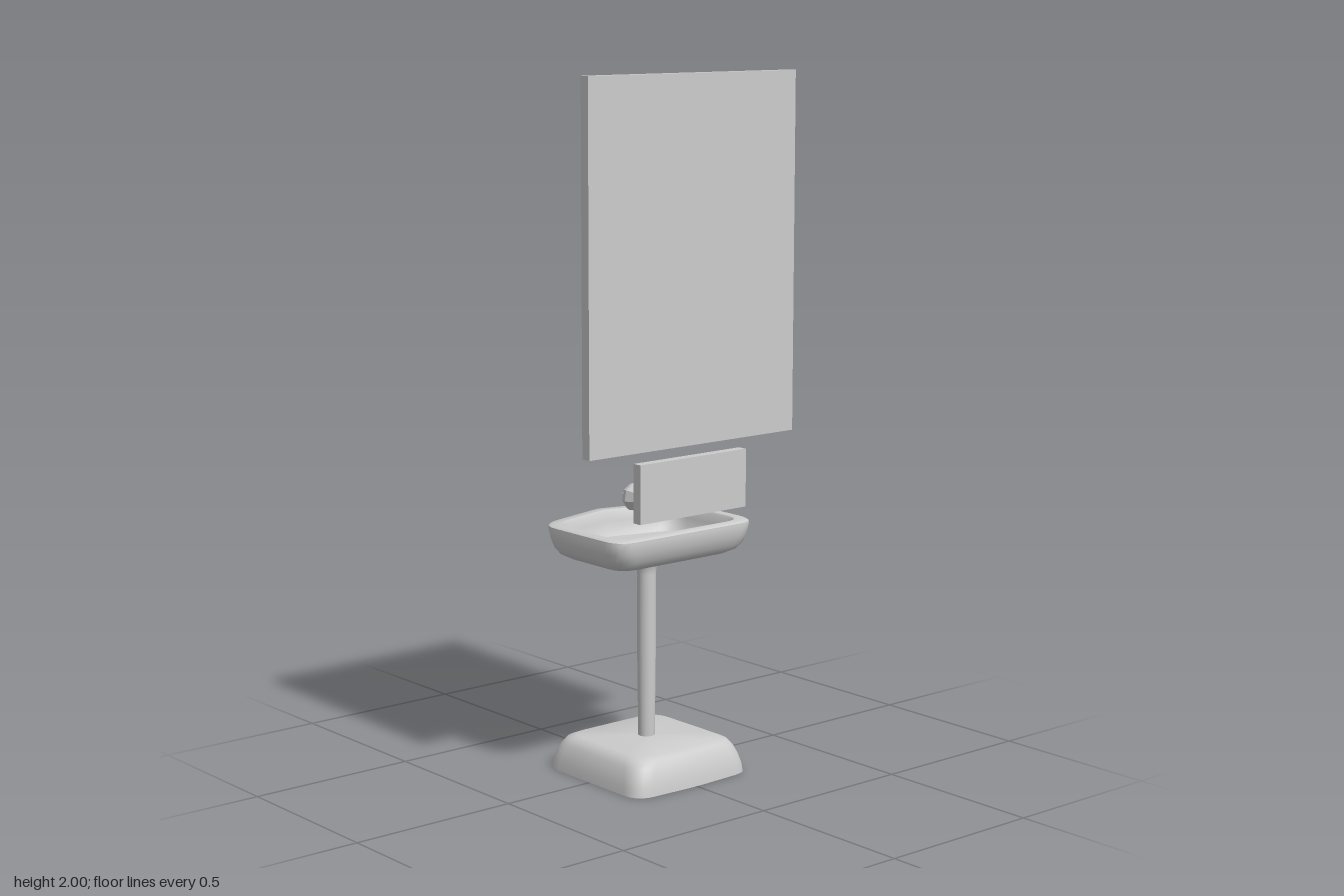
import * as THREE from 'three';
import { toCreasedNormals } from 'three/addons/utils/BufferGeometryUtils.js';

const grey = new THREE.MeshStandardMaterial({ color: 0xcccccc });
const greyDouble = new THREE.MeshStandardMaterial({ color: 0xcccccc, side: THREE.DoubleSide });
const greyFlat = new THREE.MeshStandardMaterial({ color: 0xcccccc, flatShading: true });

function add(parent, name, geometry, material = grey) {
  const mesh = new THREE.Mesh(geometry, material);
  mesh.name = name;
  parent.add(mesh);
  return mesh;
}

// Horizontal outline at height y from corners [x, z, rounding]
function ring(y, corners, steps = 6) {
  const points = [];
  corners.forEach(([x, z, r], i) => {
    const p = new THREE.Vector3(x, y, z);
    const toward = (c) => new THREE.Vector3(c[0], y, c[1]).sub(p).setLength(r).add(p);
    const before = toward(corners.at(i - 1));
    const after = toward(corners[(i + 1) % corners.length]);
    points.push(...new THREE.QuadraticBezierCurve3(before, p, after).getPoints(steps));
  });
  return points;
}

// Skin over a stack of outlines, closed at both ends by centre points
function loft(rings, startY, endY, crease) {
  const n = rings[0].length;
  const cap = (y) => Array(n).fill(new THREE.Vector3(0, y, 0));
  const all = [cap(startY), ...rings, cap(endY)];
  const positions = [];
  for (let i = 0; i < all.length - 1; i++) {
    for (let j = 0; j < n; j++) {
      const k = (j + 1) % n;
      const [a, b, c, d] = [all[i][j], all[i][k], all[i + 1][k], all[i + 1][j]];
      if (i > 0) positions.push(...a, ...b, ...c);
      if (i < all.length - 2) positions.push(...a, ...c, ...d);
    }
  }
  const geometry = new THREE.BufferGeometry();
  geometry.setAttribute('position', new THREE.Float32BufferAttribute(positions, 3));
  return toCreasedNormals(geometry, crease);
}

// Five-sided basin outline, pointed toward -x, moved inward by d
const basinRing = ([d, y]) => {
  const r = 0.065 - d * 0.15;
  return ring(y, [
    [0.188 - d, -0.255 + d, r],
    [-0.16 + 0.78 * d, -0.255 + d, r],
    [-0.225 + 1.03 * d, 0, 0.004],
    [-0.16 + 0.78 * d, 0.255 - d, r],
    [0.188 - d, 0.255 - d, r],
  ]);
};

// Rounded, nearly square base outline moved inward by d
const baseRing = ([d, y]) => ring(y, [
  [0.212 - d, -0.212 + d, 0.06],
  [-0.205 + d, -0.212 + d, 0.06],
  [-0.205 + d, 0.212 - d, 0.06],
  [0.212 - d, 0.212 - d, 0.06],
  [0.222 - d, 0, 0.04],
]);

export function createModel() {
  const model = new THREE.Group();
  model.name = 'washstand';

  // Domed foot
  const baseProfile = [[0, 0], [0.003, 0.025], [0.01, 0.05], [0.02, 0.075], [0.032, 0.092], [0.05, 0.1]];
  add(model, 'base', loft(baseProfile.map(baseRing), 0, 0.102, 0.8));

  // Slim pedestal flaring under the basin
  const pole = [[0.024, 0.095], [0.027, 0.35], [0.027, 0.58], [0.03, 0.6], [0.037, 0.62], [0.043, 0.636]];
  add(model, 'pedestal', new THREE.LatheGeometry(pole.map(([r, y]) => new THREE.Vector2(r, y)), 24));

  // Basin: underside, outer wall, rim, inner wall and floor
  const basinProfile = [
    [0.075, 0.631], [0.05, 0.636], [0.027, 0.648], [0.014, 0.665], [0.006, 0.69], [0, 0.722],
    [0.001, 0.728], [0.006, 0.732], [0.032, 0.732], [0.036, 0.727], [0.042, 0.7], [0.05, 0.672], [0.06, 0.658],
  ];
  add(model, 'basin', loft(basinProfile.map(basinRing), 0.631, 0.658, 0.7));

  // Wall plate behind the taps
  add(model, 'tapPlate', new THREE.BoxGeometry(0.03, 0.166, 0.388)).position.set(0.19, 0.863, 0);

  // Curved spout with a flared nozzle
  const spout = new THREE.Group();
  spout.name = 'spout';
  model.add(spout);
  const path = new THREE.CatmullRomCurve3([
    [0.178, 0.9], [0.145, 0.9], [0.11, 0.893], [0.082, 0.876], [0.068, 0.856], [0.064, 0.842],
  ].map(([x, y]) => new THREE.Vector3(x, y, 0)));
  add(spout, 'spoutPipe', new THREE.TubeGeometry(path, 28, 0.018, 16), greyDouble);
  const nozzle = [[0.018, 0.85], [0.02, 0.842], [0.027, 0.833], [0.026, 0.83], [0.019, 0.832], [0.016, 0.848], [0, 0.848]];
  add(spout, 'nozzle', new THREE.LatheGeometry(nozzle.map(([r, y]) => new THREE.Vector2(r, y)), 20), greyDouble)
    .position.x = 0.063;

  // Pair of faceted tap handles, axis along x
  const handleProfile = [[0, 0], [0.024, 0], [0.037, 0.013], [0.041, 0.028], [0.024, 0.086]];
  for (const side of [-1, 1]) {
    const tap = new THREE.Group();
    tap.name = side > 0 ? 'leftTap' : 'rightTap';
    tap.position.set(0.09, 0.838, side * 0.138);
    tap.rotation.z = -Math.PI / 2;
    model.add(tap);
    add(tap, 'handle', new THREE.LatheGeometry(handleProfile.map(([r, y]) => new THREE.Vector2(r, y)), 8), greyFlat)
      .rotation.y = 0.2;
    add(tap, 'handleCap', new THREE.CylinderGeometry(0.013, 0.013, 0.018, 12)).position.y = -0.006;
  }

  // Mirror: thin frame around a recessed panel facing -x
  const mirror = new THREE.Group();
  mirror.name = 'mirror';
  mirror.position.set(0.175, 1.49, 0);
  mirror.rotation.y = Math.PI / 2;
  model.add(mirror);
  const rectangle = (Type, w, h) => new Type(
    [[-w, -h], [w, -h], [w, h], [-w, h]].map(([x, y]) => new THREE.Vector2(x, y)));
  const frame = rectangle(THREE.Shape, 0.372, 0.51);
  frame.holes.push(rectangle(THREE.Path, 0.342, 0.48));
  add(mirror, 'mirrorFrame', new THREE.ExtrudeGeometry(frame, { depth: 0.03, bevelEnabled: false }));
  add(mirror, 'mirrorPanel', new THREE.BoxGeometry(0.684, 0.96, 0.014)).position.z = 0.023;

  return model;
}
